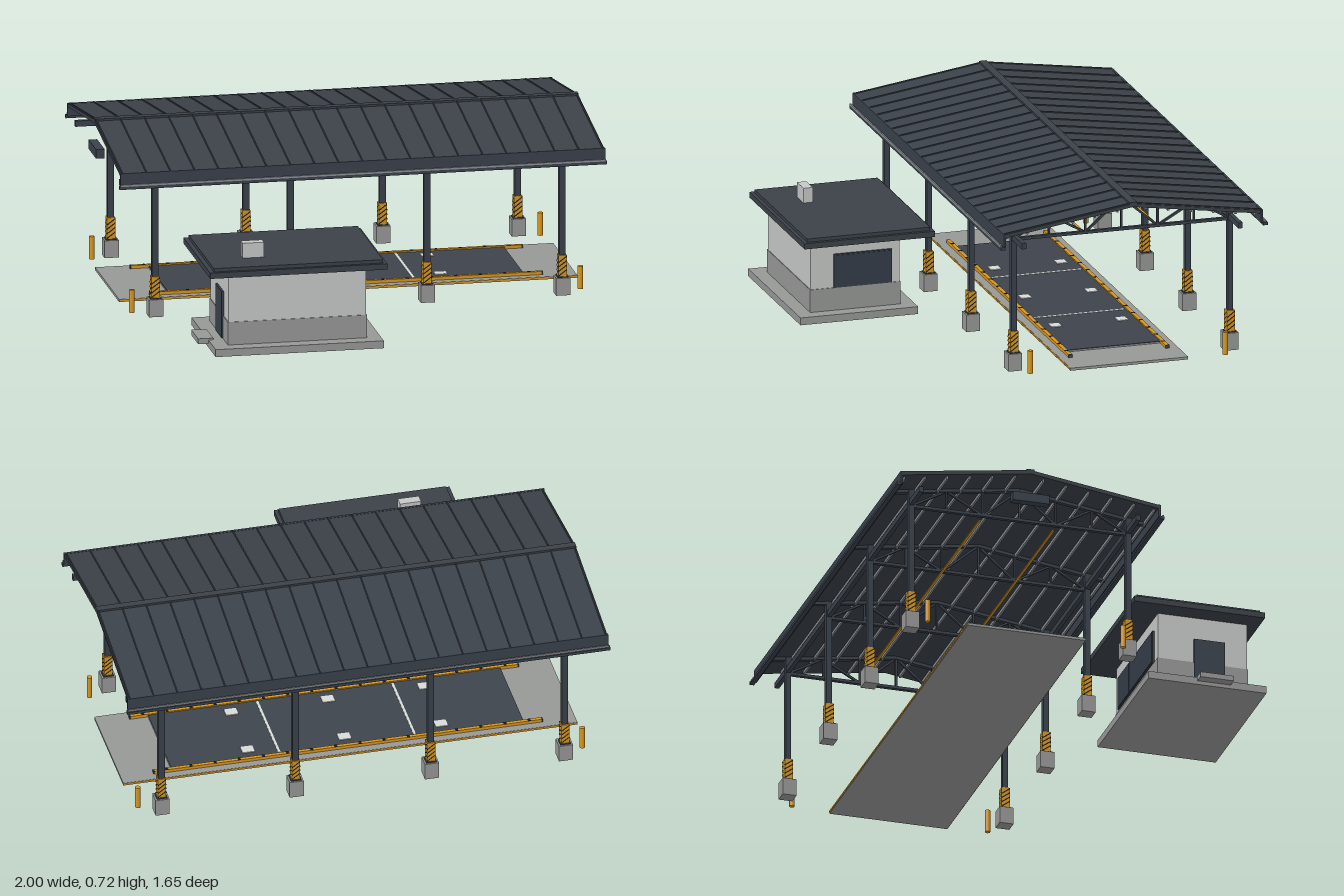
import * as THREE from 'three';

const mat = (name, color, extra = {}) => {
  const m = new THREE.MeshStandardMaterial({ color, ...extra });
  m.name = name;
  return m;
};

export function createModel() {
  const root = new THREE.Group();
  root.name = 'weighbridgeStation';
  const M = {
    roof: mat('roofSheet', 0x3b4148),
    steel: mat('darkSteel', 0x3a414b),
    zinc: mat('galvanisedSteel', 0x8b9096),
    concrete: mat('concrete', 0x969896),
    wall: mat('wallPanel', 0xc5c8c6),
    yellow: mat('safetyYellow', 0xd6961f),
    black: mat('hazardBlack', 0x1d1e20, { side: THREE.DoubleSide }),
    glass: mat('darkGlass', 0x343c48),
    deck: mat('deckPlate', 0x3e444c),
    white: mat('markingWhite', 0xd8dad8),
  };
  const group = (name, parent = root) => {
    const g = new THREE.Group();
    g.name = name;
    parent.add(g);
    return g;
  };
  const add = (parent, name, geo, m, x = 0, y = 0, z = 0) => {
    const mesh = new THREE.Mesh(geo, m);
    mesh.name = name;
    mesh.position.set(x, y, z);
    parent.add(mesh);
    return mesh;
  };
  // Box given by its lower and upper limits on each axis
  const box = (parent, name, m, x0, x1, y0, y1, z0, z1) =>
    add(parent, name, new THREE.BoxGeometry(x1 - x0, y1 - y0, z1 - z0), m,
      (x0 + x1) / 2, (y0 + y1) / 2, (z0 + z1) / 2);
  // Square bar in the y-z plane between two points [z, y]
  const bar = (parent, name, m, x, a, b, tx, t) => {
    const dz = b[0] - a[0], dy = b[1] - a[1];
    const mesh = add(parent, name, new THREE.BoxGeometry(tx, t, Math.hypot(dz, dy)), m,
      x, (a[1] + b[1]) / 2, (a[0] + b[0]) / 2);
    mesh.rotation.x = -Math.atan2(dy, dz);
    return mesh;
  };

  const ZC = -0.261;                       // centre line of the canopy and deck
  const HALF = 0.543, RIDGE = 0.714, EAVE = 0.634;
  const roofY = d => RIDGE - (RIDGE - EAVE) * Math.abs(d) / HALF;
  const bays = [-0.835, -0.28, 0.28, 0.835];

  // Canopy roof
  const canopy = group('canopy');
  for (const s of [-1, 1]) {
    const at = (d, drop) => [ZC + s * d, roofY(d) - drop];
    bar(canopy, 'roofSlope', M.roof, 0, at(0, 0.007), at(HALF, 0.007), 1.984, 0.014);
    for (let i = 0; i <= 20; i++) {
      bar(canopy, 'standingSeam', M.roof, -0.985 + i * 0.0985, at(0.01, -0.002), at(HALF, -0.002), 0.005, 0.005);
    }
    for (const d of [0.06, 0.155, 0.25, 0.345, 0.44, 0.525]) {
      const [z, y] = at(d, 0.02);
      box(canopy, 'purlin', M.zinc, -0.975, 0.975, y - 0.007, y + 0.007, z - 0.004, z + 0.004);
    }
    // Eave fascia with its gutter lip
    const e = ZC + s * HALF;
    box(canopy, 'fascia', M.steel, -0.995, 0.995, 0.582, 0.636, e - 0.005, e + 0.005);
    const g = e + s * 0.011;
    box(canopy, 'gutterFloor', M.steel, -1, 1, 0.572, 0.584, g - 0.012, g + 0.007);
    box(canopy, 'gutterLip', M.zinc, -0.995, 0.995, 0.583, 0.592, g + s * 0.004 - 0.003, g + s * 0.004 + 0.003);
    // Lighting strip below the trusses
    box(canopy, 'lightStrip', M.yellow, -0.8, 0.8, 0.552, 0.558, ZC + s * 0.155 - 0.005, ZC + s * 0.155 + 0.005);
    box(canopy, 'eaveBeam', M.steel, -0.98, 0.98, 0.562, 0.586, ZC + s * 0.457 - 0.009, ZC + s * 0.457 + 0.009);
  }
  box(canopy, 'ridgeCap', M.roof, -0.992, 0.992, 0.708, 0.72, ZC - 0.016, ZC + 0.016);
  box(canopy, 'displayBoard', M.steel, -1, -0.965, 0.572, 0.61, ZC - 0.077, ZC + 0.077);

  // Roof trusses
  for (const x of bays) {
    const t = group('truss', canopy);
    bar(t, 'bottomChord', M.steel, x, [ZC - 0.46, 0.562], [ZC + 0.46, 0.562], 0.016, 0.012);
    for (const s of [-1, 1]) {
      const top = d => [ZC + s * d, roofY(d) - 0.02];
      const low = d => [ZC + s * d, 0.562];
      bar(t, 'topChord', M.steel, x, top(0), top(0.533), 0.018, 0.014);
      for (const d of s > 0 ? [0, 0.153, 0.306] : [0.153, 0.306])
        bar(t, 'vertical', M.steel, x, low(d), top(d), 0.009, 0.008);
      bar(t, 'diagonal', M.steel, x, low(0.153), top(0), 0.009, 0.009);
      bar(t, 'diagonal', M.steel, x, low(0.153), top(0.306), 0.009, 0.009);
      bar(t, 'diagonal', M.steel, x, low(0.458), top(0.306), 0.009, 0.009);
    }
  }

  // Columns with footings and striped guards
  const stripeShape = y => new THREE.Shape([[-0.017, y], [0.017, y + 0.025], [0.017, y + 0.031], [-0.017, y + 0.006]]
    .map(p => new THREE.Vector2(...p)));
  const stripes = new THREE.ShapeGeometry([-0.043, -0.024, -0.005, 0.013].map(stripeShape));
  for (const x of bays) for (const s of [-1, 1]) {
    const c = group('column');
    c.position.set(x, 0, ZC + s * 0.457);
    add(c, 'footing', new THREE.BoxGeometry(0.058, 0.072, 0.058), M.concrete, 0, 0.049, 0);
    add(c, 'post', new THREE.BoxGeometry(0.026, 0.55, 0.023), M.steel, 0, 0.356, 0);
    add(c, 'basePlate', new THREE.BoxGeometry(0.044, 0.005, 0.044), M.steel, 0, 0.0865, 0);
    add(c, 'guard', new THREE.BoxGeometry(0.034, 0.09, 0.034), M.yellow, 0, 0.132, 0);
    for (let k = 0; k < 4; k++) {
      const a = k * Math.PI / 2;
      add(c, 'guardStripes', stripes, M.black, Math.sin(a) * 0.0178, 0.132, Math.cos(a) * 0.0178).rotation.y = a;
    }
  }

  // Corner bollards
  for (const x of [-0.92, 0.92]) for (const s of [-1, 1])
    add(root, 'bollard', new THREE.CylinderGeometry(0.011, 0.011, 0.095, 16), M.yellow, x, 0.065, ZC + s * 0.412);

  // Weighing deck: slab with ramped ends, plates and curbs
  const deck = group('weighDeck');
  box(deck, 'slab', M.concrete, -0.94, 0.94, 0.017, 0.028, ZC - 0.248, ZC + 0.248);
  box(deck, 'platformEdge', M.concrete, -0.73, 0.73, 0.028, 0.033, ZC - 0.21, ZC + 0.21);
  box(deck, 'platform', M.deck, -0.729, 0.729, 0.033, 0.036, ZC - 0.21, ZC + 0.21);
  for (const x of [-0.28, 0.28])
    box(deck, 'jointLine', M.white, x - 0.005, x + 0.005, 0.036, 0.0375, ZC - 0.19, ZC + 0.19);
  for (const s of [-1, 1]) {
    for (const x of [-0.4, 0, 0.4])
      box(deck, 'accessCover', M.white, x - 0.025, x + 0.025, 0.036, 0.039, ZC + s * 0.14 - 0.022, ZC + s * 0.14 + 0.022);
    const z = ZC + s * 0.205;
    box(deck, 'curb', M.yellow, -0.8, 0.8, 0.028, 0.041, z - 0.008, z + 0.008);
    for (const x of [-0.803, 0.803])
      box(deck, 'curbEnd', M.steel, x - 0.003, x + 0.003, 0.028, 0.041, z - 0.008, z + 0.008);
    for (let i = 0; i < 16; i++) {
      const x = -0.75 + i * 0.1;
      box(deck, 'curbStripe', M.black, x - 0.006, x + 0.006, 0.04, 0.0418, z - 0.008, z + 0.008);
    }
    const edge = ZC + s * 0.249;
    box(deck, 'edgeLine', M.yellow, -0.935, 0.935, 0.02, 0.027, edge - 0.0015, edge + 0.0015);
  }

  // Control office
  const office = group('office');
  box(office, 'baseSlab', M.concrete, -0.71, -0.02, 0, 0.031, 0.323, 0.82);
  box(office, 'doorStep', M.concrete, -0.752, -0.69, 0.016, 0.038, 0.53, 0.67);
  box(office, 'plinthWall', M.concrete, -0.648, -0.077, 0.031, 0.126, 0.38, 0.761);
  box(office, 'upperWall', M.wall, -0.645, -0.08, 0.126, 0.328, 0.383, 0.758);
  box(office, 'roofSlab', M.roof, -0.73, -0.003, 0.324, 0.348, 0.258, 0.808);
  box(office, 'roofTop', M.roof, -0.712, -0.018, 0.348, 0.362, 0.273, 0.793);
  box(office, 'roofUnit', M.wall, -0.567, -0.48, 0.362, 0.424, 0.62, 0.66);

  // Office windows and door
  box(office, 'sideWindowFrame', M.steel, -0.08, -0.074, 0.126, 0.268, 0.417, 0.662);
  box(office, 'sideWindow', M.glass, -0.074, -0.072, 0.131, 0.263, 0.422, 0.657);
  box(office, 'rearWindowFrame', M.steel, -0.595, -0.125, 0.126, 0.268, 0.375, 0.383);
  for (let i = 0; i < 3; i++) {
    const x = -0.59 + i * 0.155;
    box(office, 'rearWindow', M.glass, x, x + 0.15, 0.131, 0.263, 0.372, 0.375);
  }
  box(office, 'door', M.steel, -0.654, -0.645, 0.034, 0.228, 0.533, 0.663);
  return root;
}
